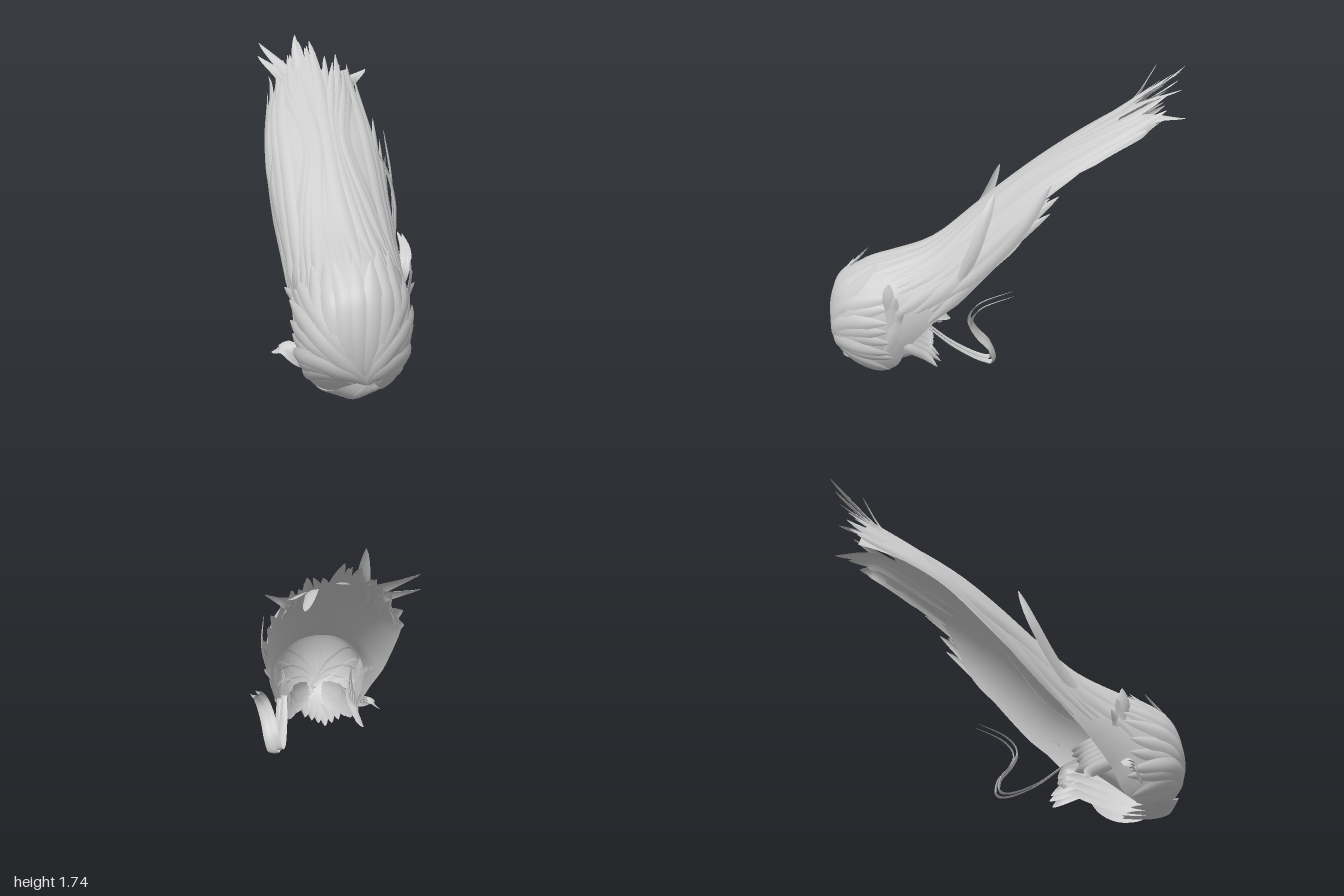
import * as THREE from 'three';

const V = (x, y, z) => new THREE.Vector3(x, y, z);
const mat = new THREE.MeshStandardMaterial({ color: 0xcccccc, roughness: 0.8, side: THREE.DoubleSide });
const { clamp, smoothstep, degToRad } = THREE.MathUtils;

// seeded random in [-1, 1]
let seed = 7;
const rnd = () => {
  seed = (seed * 16807) % 2147483647;
  return (seed / 2147483647) * 2 - 1;
};

// arched sections from the crown to the tips:
// ridge z, y; rim z, y; half width; centre x; half sweep of the arch in degrees
const sections = [
  [0.92, 0.1, 0.86, 0.08, 0.03, 0.03, 110], [0.97, 0.22, 0.78, 0.05, 0.16, -0.01, 125],
  [0.985, 0.38, 0.68, 0.055, 0.24, -0.02, 130], [0.945, 0.54, 0.59, 0.11, 0.275, -0.015, 130],
  [0.86, 0.62, 0.53, 0.22, 0.285, -0.01, 122], [0.74, 0.675, 0.45, 0.32, 0.285, -0.01, 112],
  [0.58, 0.72, 0.36, 0.42, 0.29, -0.01, 102], [0.4, 0.785, 0.2, 0.58, 0.3, -0.015, 94],
  [0.2, 0.935, 0.02, 0.76, 0.315, -0.025, 90], [0, 1.1, -0.17, 0.94, 0.325, -0.03, 90],
  [-0.2, 1.25, -0.35, 1.11, 0.32, -0.035, 90], [-0.4, 1.385, -0.54, 1.24, 0.295, -0.035, 90],
  [-0.6, 1.51, -0.7, 1.32, 0.265, -0.03, 90], [-0.78, 1.62, -0.83, 1.37, 0.24, -0.025, 90],
  [-0.92, 1.7, -0.92, 1.42, 0.23, -0.02, 90],
];
const LAST = sections.length - 1;
const curve = (pts) => new THREE.CatmullRomCurve3(pts, false, 'catmullrom', 0.5);
const ridge = curve(sections.map((s) => V(s[5], s[1], s[0])));
const rim = curve(sections.map((s) => V(s[5], s[3], s[2])));
const span = curve(sections.map((s) => V(s[4], degToRad(s[6]), 0)));

// point on the hair surface (t along the hair, a = -1..1 across) and the heart of its section
function section(t, a) {
  const u = clamp(t / LAST, 0, 1);
  const { x: w, y: max } = span.getPoint(u);
  const low = rim.getPoint(u), top = ridge.getPoint(u), c = Math.cos(max);
  const heart = low.clone().lerp(top, -c / (1 - c));
  const point = low.lerp(top, (Math.cos(a * max) - c) / (1 - c));
  point.x += w * Math.sin(a * max);
  return { point, heart };
}
const surf = (t, a) => section(t, a).point;
function normal(t, a) {
  const e = 0.05;
  const n = surf(t, a + e).sub(surf(t, a - e)).cross(surf(t + e, a).sub(surf(t - e, a))).normalize();
  const { point, heart } = section(t, a);
  return n.dot(point.sub(heart)) < 0 ? n.negate() : n;
}

// smooth mesh over a grid of points
function gridMesh(name, rows, cols, at) {
  const pos = [], idx = [];
  for (let i = 0; i <= rows; i++)
    for (let j = 0; j <= cols; j++) {
      pos.push(...at(i / rows, j / cols).toArray());
      if (i < rows && j < cols) {
        const k = i * (cols + 1) + j, m = k + cols + 1;
        idx.push(k, k + 1, m, k + 1, m + 1, m);
      }
    }
  const g = new THREE.BufferGeometry();
  g.setAttribute('position', new THREE.Float32BufferAttribute(pos, 3));
  g.setIndex(idx);
  g.computeVertexNormals();
  const mesh = new THREE.Mesh(g, mat);
  mesh.name = name;
  return mesh;
}

// tapered, slightly domed ribbon along a path with given normals
function ribbon(name, pts, norms, w, root = 0.5, rows = 24) {
  const path = curve(pts), nPath = curve(norms);
  const frames = [];
  for (let i = 0; i <= rows; i++) {
    const u = i / rows;
    const n = nPath.getPoint(u).normalize();
    const side = path.getTangent(u).cross(n).normalize();
    const h = w * (root + (1 - root) * Math.min(1, u * 4)) * Math.pow(1 - u ** 5, 0.8) + 0.002;
    frames.push({ p: path.getPoint(u), n, side, h });
  }
  return gridMesh(name, rows, 4, (u, v) => {
    const f = frames[Math.round(u * rows)], s = v * 2 - 1;
    return f.p.clone().addScaledVector(f.side, s * f.h).addScaledVector(f.n, -0.3 * s * s * f.h);
  });
}

// lock lying on the hair surface, its tip pulled away by an offset
function lock(name, route, lift, w, flick, root, steps = 10) {
  const pts = [], norms = [];
  for (let i = 0; i <= steps; i++) {
    const u = i / steps;
    const [t, a] = route(u);
    const n = normal(t, a);
    const k = Math.max(0, (u - 0.65) / 0.35) ** 2;
    pts.push(surf(t, a).addScaledVector(n, lift * Math.min(1, 0.3 + u * 3)).addScaledVector(flick, k));
    norms.push(n);
  }
  return ribbon(name, pts, norms, w, root);
}

export function createModel() {
  seed = 7;
  const model = new THREE.Group();
  model.name = 'hair';
  const group = (name) => {
    const g = new THREE.Group();
    g.name = name;
    model.add(g);
    return g;
  };

  // underlying shell, open underneath, its left edge cut back along the far half
  model.add(gridMesh('hairShell', 80, 40, (u, v) => {
    const a = v * 2 - 1;
    const t = u * (12.8 - 0.9 * smoothstep(a, -0.2, 0.4));
    return surf(t, a > 0 ? a * (1 - 0.36 * smoothstep(t, 8.3, 10.3)) : a);
  }));

  // long locks flowing to the tips, gathered at the middle parting
  const long = group('longLocks');
  const count = 26;
  for (let i = 0; i < count; i++) {
    const a0 = ((i + 0.5) / count) * 2 - 1 + rnd() * 0.015;
    const t0 = 3.5 + (rnd() + 1) * 1.5;
    const t1 = (a0 < 0.08 ? 13.4 : a0 < 0.68 ? 12.7 : 10.4 - 3 * (a0 - 0.68)) + rnd() * 0.5 - 0.6 * Math.abs(a0) ** 3;
    const pinch = Math.abs(a0) < 0.55 ? 0.6 : 0.1;
    const flick = V(a0 < 0.08 ? -0.01 + rnd() * 0.03 : 0.03 + rnd() * 0.02, 0.02 + rnd() * 0.02, -0.03);
    long.add(lock('longLock', (u) => {
      const t = t0 + (t1 - t0) * u;
      return [t, a0 * (1 - pinch * Math.exp(-(((t - 9.4) / 1.8) ** 2)))];
    }, 0.007 + (rnd() + 1) * 0.006, 0.036 + rnd() * 0.006, flick, 0.2, 16));
  }

  // crown locks rising from the whorl, tips standing off the top
  const crown = group('crownLocks');
  for (let i = 0; i < 8; i++) {
    const a0 = (i - 3.5) * 0.115;
    const t1 = 4.9 + rnd() * 0.7;
    crown.add(lock('crownLock', (u) => [0.4 + (t1 - 0.4) * u, a0 + 0.04 * Math.sin(u * 3)],
      0.01, 0.048 + rnd() * 0.01, V(rnd() * 0.03, 0.03 + rnd() * 0.025, 0), 0.2));
  }

  // smooth locks swept from the whorl round both sides of the head
  const swept = group('sweptLocks');
  for (const s of [-1, 1])
    for (let i = 0; i < 8; i++) {
      const t1 = 2.5 + i * 0.38 + rnd() * 0.2;
      const end = 0.96 - i * 0.055;
      swept.add(lock('sweptLock', (u) => [0.3 + (t1 - 0.3) * u, s * end * Math.pow(u, 0.8)],
        0.007 + 0.005 * (i % 3), 0.05, V(s * 0.006, 0.01 + 0.015 * rnd(), -0.03), 0.25));
    }

  // short locks curling under the brow, off to one side
  const under = group('underLocks');
  for (let i = 0; i < 7; i++) {
    const x = -0.17 + i * 0.04, d = Math.abs(i - 3);
    const s = (i - 3) / 3;
    under.add(ribbon('underLock',
      [V(0.03, 0.14, 0.94), V(x * 0.6, 0.06 + d * 0.008, 0.91), V(x, 0.02 + d * 0.014, 0.8), V(x * 1.1, 0.012 + d * 0.018, 0.64 + d * 0.01)],
      [V(0, -0.3, 1), V(0, -0.8, 0.7), V(s * 0.3, -1, 0), V(s * 0.5, -1, -0.2)], 0.036, 0.3));
  }

  // broad locks tucked inside the head opening
  const inner = group('innerLocks');
  for (const s of [-1, 1])
    for (let i = 0; i < 4; i++)
      inner.add(ribbon('innerLock',
        [V(s * 0.05, 0.1 + i * 0.03, 0.88), V(s * (0.15 - i * 0.015), 0.12 + i * 0.04, 0.72), V(s * (0.21 - i * 0.02), 0.19 + i * 0.04, 0.55), V(s * (0.23 - i * 0.03), 0.24 + i * 0.03, 0.4)],
        [V(s * 0.5, -0.5, 0.6), V(s, -0.5, 0), V(s, -0.4, 0), V(s, -0.6, 0)], 0.045, 0.4));

  // flicked tufts beside the head and at the nape
  const tufts = group('sideTufts');
  for (const s of [-1, 1]) {
    for (let i = 0; i < 6; i++) {
      const y = 0.17 + i * 0.03;
      tufts.add(ribbon('napeTuft',
        [V(s * 0.22, y + 0.12, 0.62), V(s * (0.25 - i * 0.01), y + 0.07, 0.52), V(s * (0.25 - i * 0.012), y + 0.02, 0.42), V(s * (0.28 - i * 0.01), y - 0.02, 0.36 + rnd() * 0.03)],
        [V(s, 0, 0), V(s, -0.2, 0), V(s, -0.4, -0.2), V(s, -0.6, -0.2)], 0.032, 0.4));
    }
    for (let i = 0; i < 3; i++)
      tufts.add(ribbon('sideTuft',
        [V(s * 0.25, 0.2 + i * 0.08, 0.66), V(s * 0.285, 0.33 + i * 0.07, 0.6), V(s * 0.295, 0.44 + i * 0.06, 0.57 + i * 0.02), V(s * (0.33 - i * 0.02), 0.5 + i * 0.07, 0.52 + i * 0.04)],
        [V(s, 0, 0.2), V(s, 0, 0.2), V(s, 0, 0.3), V(s, 0.2, 0.3)], 0.038, 0.4));
  }
  // low flicks on one side
  for (let i = 0; i < 3; i++)
    tufts.add(ribbon('lowFlick',
      [V(-0.18, 0.2, 0.8), V(-0.27, 0.17 + i * 0.02, 0.68), V(-0.34, 0.21 + i * 0.015, 0.6), V(-0.4 + i * 0.03, 0.18 + i * 0.02, 0.55)],
      [V(-0.5, 0, 1), V(-0.6, 0.2, 0.8), V(-0.3, 1, 0.5), V(-0.5, 1, 0.3)], 0.03, 0.4));

  // long S-shaped curl hanging free on one side
  const curls = group('looseCurl');
  for (const d of [0, 0.014])
    curls.add(ribbon('curl',
      [[0.24, 0.36, 0.4], [0.25, 0.26, 0.27], [0.27, 0.19, 0.12], [0.29, 0.2, 0.04], [0.31, 0.29, 0.05],
        [0.33, 0.38, 0.12], [0.36, 0.47, 0.15], [0.39, 0.56, 0.09], [0.39, 0.63, -0.07]]
        .map(([x, y, z]) => V(x - d * 2, y + d, z + d)),
      [V(0.2, -1, 0.7), V(0.2, -1, 0.5), V(0.2, -1, 0), V(0.3, -0.3, -1), V(0.3, 0.5, -1),
        V(0.3, 0.5, -1), V(0.3, -0.1, -1), V(0.3, -0.8, -0.7), V(0.3, -1, -0.4)], 0.03, 0.5, 48));

  // thin wisps standing off the sides of the long hair
  const wisps = group('sideWisps');
  const wisp = (pts, w) => wisps.add(ribbon('wisp', pts.map((p) => V(...p)),
    pts.map(([x]) => V(Math.sign(x), 0.15, 0)), w, 0.4));
  wisp([[0.28, 0.5, 0.4], [0.31, 0.72, 0.12], [0.335, 0.97, -0.1], [0.315, 1.21, -0.25]], 0.03);
  wisp([[0.29, 0.64, 0.24], [0.31, 0.83, 0.15], [0.28, 1.0, 0.09], [0.22, 1.13, 0.04]], 0.03);
  wisp([[-0.28, 0.5, 0.45], [-0.33, 0.72, 0.25], [-0.365, 0.93, 0.12], [-0.345, 1.13, 0.04]], 0.028);
  wisp([[-0.3, 0.6, 0.3], [-0.35, 0.85, 0.05], [-0.37, 1.05, -0.2], [-0.33, 1.32, -0.48]], 0.03);

  // stray tips fanning out at the far end: tip x, y, z and place across the hair
  const tips = group('strayTips');
  const strays = [[-0.35, 1.7, -0.98, -0.4], [-0.36, 1.62, -0.95, -0.5], [-0.14, 1.75, -0.8, -0.3],
    [0, 1.64, -0.92, -0.1], [0.3, 1.54, -0.78, 0.6], [0.2, 1.54, -0.85, 0.42], [0.13, 1.52, -0.93, 0.3]];
  for (const [x, y, z, a] of strays)
    tips.add(ribbon('strayTip',
      [surf(10, a), surf(11.3, a), surf(12.2, a).lerp(V(x, y, z), 0.15), V(x, y, z)],
      [normal(10, a), normal(11.3, a), normal(12, a), V(0, 0.9, 0.4)], 0.036, 0.3));
  return model;
}
